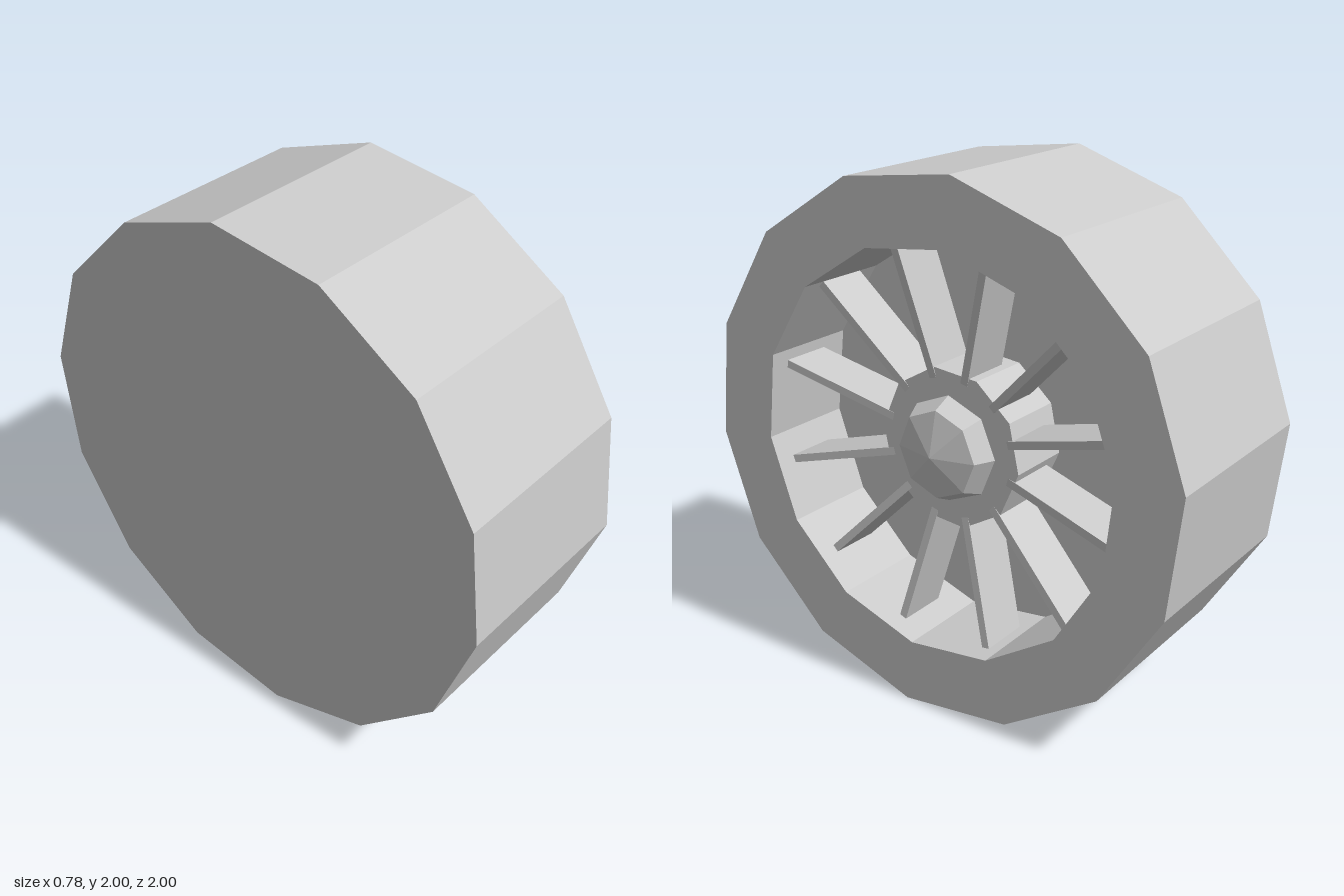
import * as THREE from 'three';

const material = new THREE.MeshStandardMaterial({ color: 0xcccccc, flatShading: true });

// Faceted solid turned about the x axis; profile rows are [radius, x], from the back to the front.
// startDeg places the first corner, measured from +z towards +y.
function turned(name, profile, sides, startDeg) {
  const points = profile.map(([r, x]) => new THREE.Vector2(r, x));
  const geometry = new THREE.LatheGeometry(points, sides, -THREE.MathUtils.degToRad(startDeg));
  geometry.rotateZ(-Math.PI / 2);
  const mesh = new THREE.Mesh(geometry, material);
  mesh.name = name;
  return mesh;
}

// Thin blade lying along +y, its front edge sloping back towards the hub
function spokeGeometry() {
  const thickness = 0.03;
  const shape = new THREE.Shape([
    new THREE.Vector2(0.26, 0.26),
    new THREE.Vector2(0.31, 0.75),
    new THREE.Vector2(0.11, 0.75),
    new THREE.Vector2(0.06, 0.26),
  ]);
  const geometry = new THREE.ExtrudeGeometry(shape, { depth: thickness, bevelEnabled: false });
  return geometry.translate(0, 0, -thickness / 2);
}

export function createModel() {
  const wheel = new THREE.Group();
  wheel.name = 'wheel';

  const halfWidth = 0.39;
  const outer = 1.0063;
  const inner = 0.757;
  const floor = 0;

  // Tyre with a closed back and a recess in its outer face
  wheel.add(turned('tyre', [
    [0, -halfWidth], [outer, -halfWidth], [outer, halfWidth],
    [inner, halfWidth], [inner, floor], [0, floor],
  ], 14, 96.43));

  // Ten-sided hub and eight-sided pointed cap
  wheel.add(turned('hub', [[0.3, floor], [0.3, 0.26], [0, 0.26]], 10, 78));
  wheel.add(turned('hubCap', [[0.2, 0.26], [0.165, 0.335], [0, 0.375]], 8, 0));

  // Twelve spokes
  const blade = spokeGeometry();
  const spokes = new THREE.Group();
  spokes.name = 'spokes';
  for (let i = 0; i < 12; i++) {
    const spoke = new THREE.Mesh(blade, material);
    spoke.name = 'spoke';
    spoke.rotation.x = Math.PI / 12 + (i * Math.PI) / 6;
    spokes.add(spoke);
  }
  wheel.add(spokes);

  wheel.position.y = 1;
  const model = new THREE.Group();
  model.add(wheel);
  return model;
}
